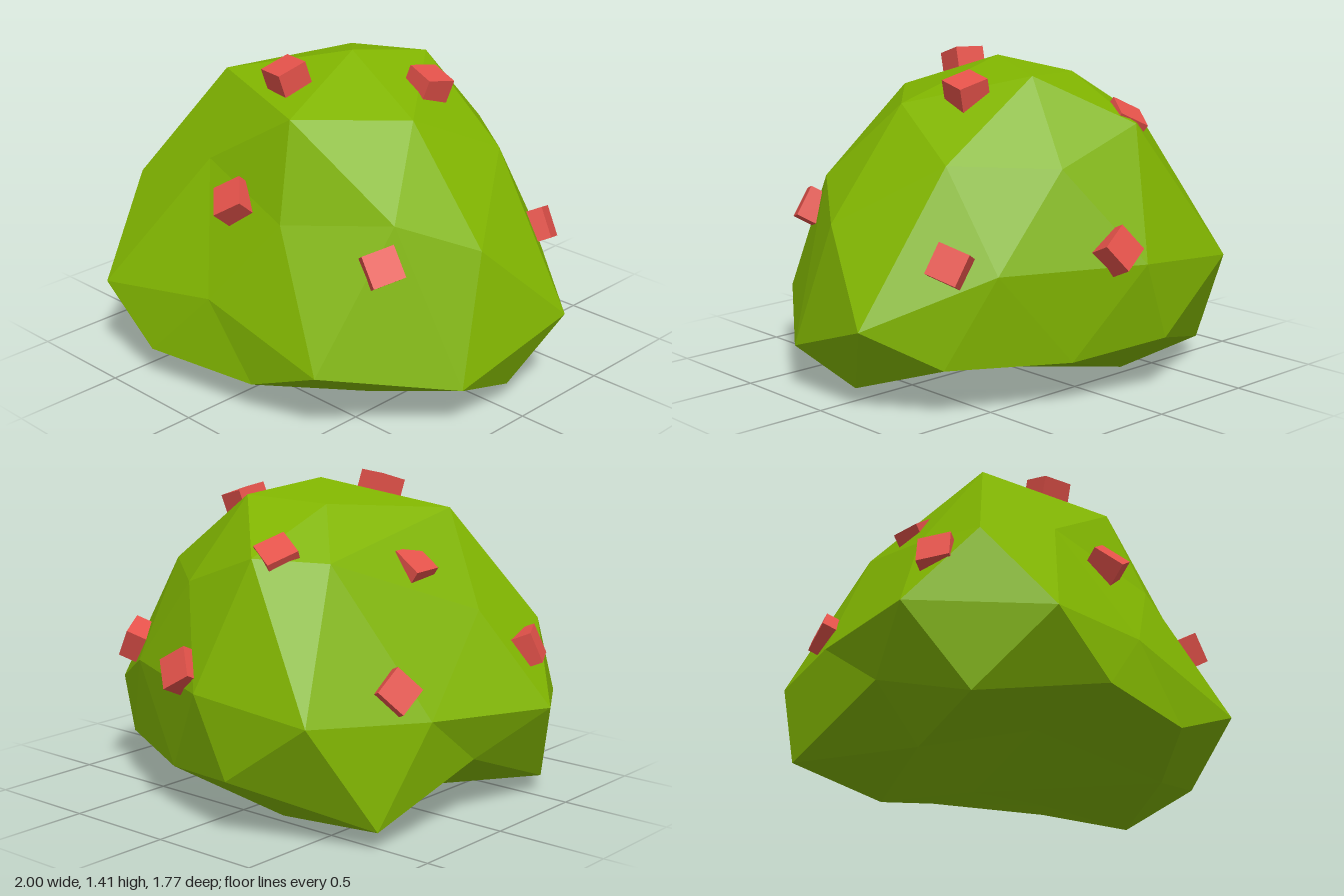
import * as THREE from 'three';
import { ConvexGeometry } from 'three/addons/geometries/ConvexGeometry.js';

const CENTRE = new THREE.Vector3(0, 0.58, 0);
const BERRY_AIM_Y = 0.3; // berries face away from this height on the axis

// Corners of the faceted leaf mass, by height band
const CORNERS = [
  // crown
  [-0.01, 1.4, 0], [-0.49, 1.28, 0.3], [0.11, 1.235, 0.49], [0.45, 1.22, 0.11], [0.11, 1.35, -0.34], [-0.24, 1.33, -0.23],
  // shoulders
  [0.63, 0.89, 0.41], [0.84, 0.75, 0.11], [0.57, 1.02, -0.31], [0.2, 1, -0.61], [-0.2, 1.15, -0.65],
  [-0.45, 1.13, -0.45], [-0.74, 0.88, 0.18], [-0.78, 0.79, 0.57], [-0.32, 0.97, 0.56], [0.19, 0.83, 0.63],
  // waist
  [-1, 0.46, 0.355], [-0.84, 0.5, -0.27], [-0.62, 0.54, -0.8], [-0.06, 0.6, -0.855], [0.54, 0.6, -0.59],
  [1, 0.39, -0.26], [0.55, 0.31, 0.79], [-0.08, 0.46, 0.8], [-0.67, 0.38, 0.885],
  // skirt
  [0.91, 0.2, 0.29], [0.18, 0.15, 0.8], [-0.37, 0.15, 0.885], [-0.82, 0.07, 0.57], [-0.83, 0.27, 0.04],
  [-0.77, 0.08, -0.53], [-0.21, 0.25, -0.83], [0.22, 0.2, -0.7], [0.72, 0.215, -0.46], [0.86, 0.08, -0.06],
  // underside
  [-0.29, 0.11, 0.41], [0.52, 0.1, 0.42], [0.32, 0.07, -0.1], [-0.5, 0.1, -0.05], [-0.26, 0.04, -0.53], [-0.15, 0, -0.07],
];

// Berry centres and roll about the outward direction
const BERRIES = [
  [-0.08, 0.85, 0.625, 0.75], [0.63, 0.73, 0.485, 0.3], [-0.09, 1.32, 0.31, 0.1], [0.3, 1.27, -0.14, -0.6],
  [-0.83, 0.69, 0.39, 0.1], [0.67, 0.64, -0.45, -0.35], [0.06, 0.66, -0.78, 0.6], [-0.24, 1.13, -0.53, 0.7],
  [-0.53, 1.05, -0.03, 0.05], [-0.72, 0.62, -0.37, 0.75],
];

// Joins the corners by the hull of their directions, so shallow dents survive
function facetedBlob(corners) {
  const points = corners.map((c) => new THREE.Vector3(...c));
  const dirs = points.map((p) => p.clone().sub(CENTRE).normalize());
  const geometry = new ConvexGeometry(dirs);
  const pos = geometry.attributes.position;
  const v = new THREE.Vector3();
  for (let i = 0; i < pos.count; i++) {
    v.fromBufferAttribute(pos, i);
    let best = 0;
    dirs.forEach((d, k) => { if (d.dot(v) > dirs[best].dot(v)) best = k; });
    pos.setXYZ(i, ...points[best].toArray());
  }
  geometry.computeVertexNormals();
  return geometry;
}

export function createModel() {
  const model = new THREE.Group();
  model.name = 'berryBush';
  const leafMaterial = new THREE.MeshStandardMaterial({ color: 0x80b400, flatShading: true });
  const berryMaterial = new THREE.MeshStandardMaterial({ color: 0xe4524a, flatShading: true });

  // Leaf mass
  const foliage = new THREE.Mesh(facetedBlob(CORNERS), leafMaterial);
  foliage.name = 'foliage';
  model.add(foliage);

  // Cube berries half sunk into the leaves, facing outward and up
  const berries = new THREE.Group();
  berries.name = 'berries';
  const cube = new THREE.BoxGeometry(0.14, 0.14, 0.14);
  BERRIES.forEach(([x, y, z, roll]) => {
    const berry = new THREE.Mesh(cube, berryMaterial);
    berry.name = 'berry';
    berry.position.set(x, y, z);
    berry.lookAt(2 * x, 2 * y - BERRY_AIM_Y, 2 * z);
    berry.rotateZ(roll);
    berries.add(berry);
  });
  model.add(berries);
  return model;
}
